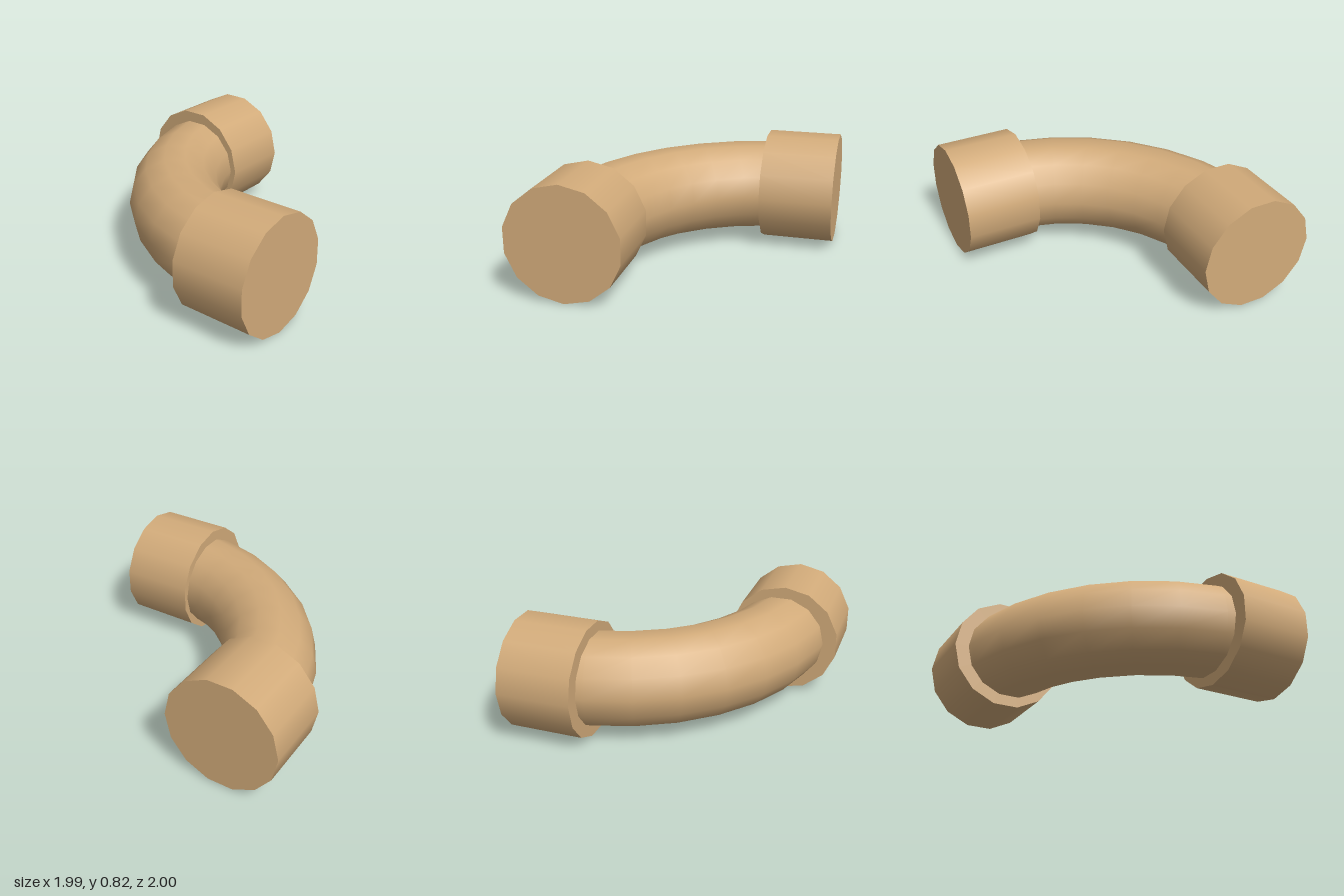
import * as THREE from 'three';

const SIDES = 14;
const AXIS_Y = 0.415;  // height of the pipe's centre line
const BEND = 0.734;    // x and z of the bend's centre
const RADIUS = 1.33;   // radius of the bend

export function createModel() {
  const group = new THREE.Group();
  group.name = 'pipeElbow';
  const tan = new THREE.MeshStandardMaterial({ color: 0xd2ab7a });
  tan.name = 'tan';

  const add = (name, geometry, x, y, z) => {
    const mesh = new THREE.Mesh(geometry, tan);
    mesh.name = name;
    mesh.position.set(x, y, z);
    group.add(mesh);
  };

  // Quarter-turn pipe, its ends hidden inside the collars
  const bend = new THREE.TorusGeometry(RADIUS, 0.33, SIDES, 8, Math.PI / 2);
  bend.rotateZ(Math.PI).rotateX(Math.PI / 2);
  add('bentPipe', bend, BEND, AXIS_Y, BEND);

  // Closed collars at both ends
  const collar = () => new THREE.CylinderGeometry(0.41, 0.41, 0.53, SIDES);
  add('frontCollar', collar().rotateX(Math.PI / 2), BEND - RADIUS, AXIS_Y, 0.735);
  add('leftCollar', collar().rotateZ(Math.PI / 2), 0.727, AXIS_Y, BEND - RADIUS + 0.006);

  return group;
}
